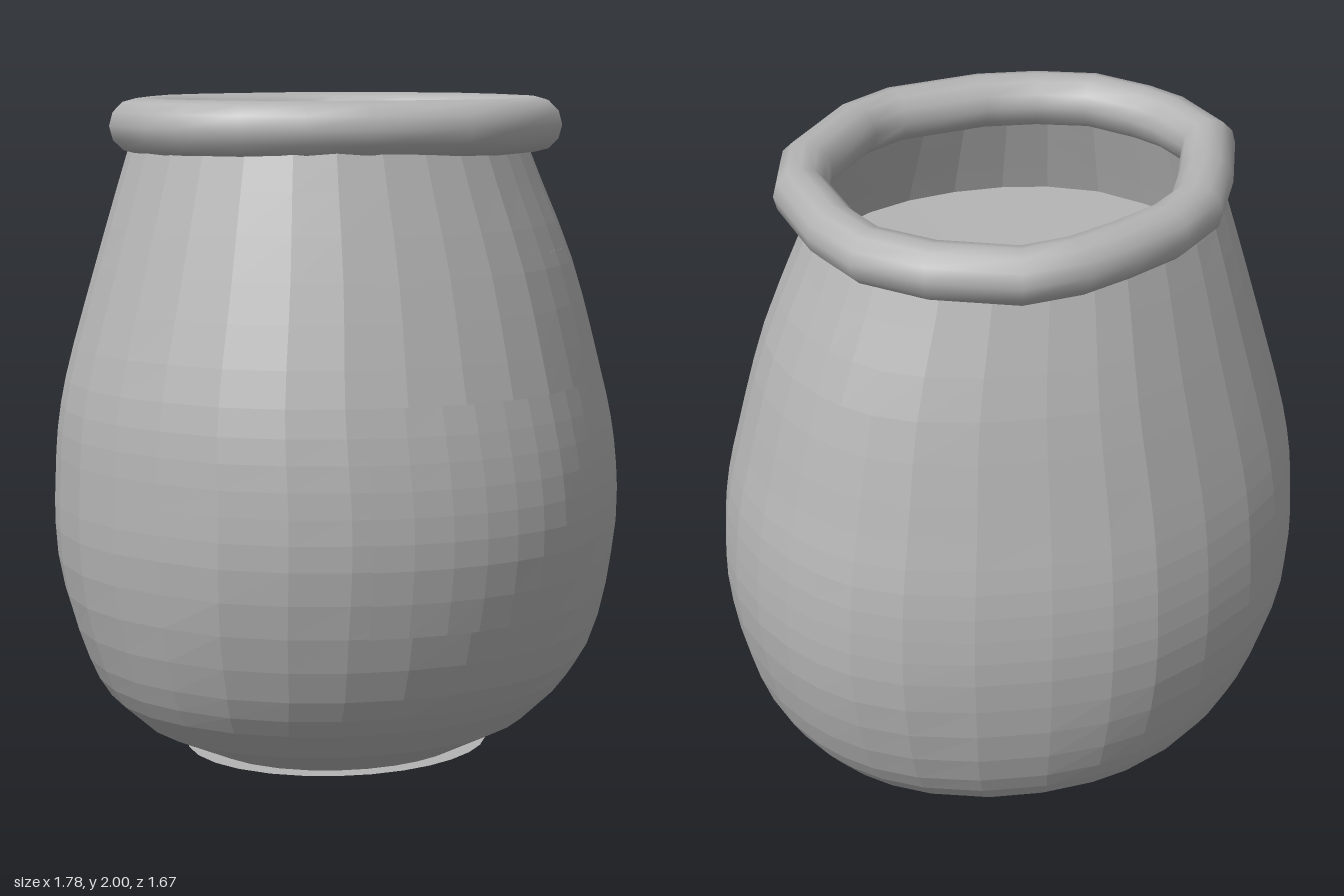
import * as THREE from 'three';

// Uneven plan of the pot at its widest, counter-clockwise from +x seen from above: x, z
const plan = [
  [.89, 0], [.88, -.17], [.845, -.3], [.77, -.44], [.6, -.6], [.37, -.735], [.17, -.815], [0, -.84], [-.26, -.81],
  [-.465, -.745], [-.6, -.665], [-.71, -.565], [-.79, -.43], [-.865, -.24], [-.89, 0], [-.85, .2], [-.765, .43],
  [-.605, .61], [-.43, .72], [-.21, .8], [0, .823], [.2, .795], [.39, .705], [.55, .6], [.71, .46], [.81, .32], [.865, .18],
];
// Half widths and centre at each height: y, half x, half z, centre x, centre z
const levels = [
  [0, .42, .385, -.02, -.025], [.09, .625, .56, -.015, -.025], [.18, .73, .66, -.01, -.03],
  [.3, .805, .735, 0, -.02], [.5, .865, .8, 0, -.01], [.7, .89, .83, 0, 0], [.85, .887, .827, -.002, .003],
  [1, .875, .807, -.008, .003], [1.155, .845, .772, -.015, .003], [1.5, .75, .68, -.014, -.002],
  [1.84, .625, .575, -.035, -.01], [1.92, .6, .55, -.035, -.01],
];
// Centre line of the rolled rim: x, z
const rimPath = [
  [.58, 0], [.577, -.175], [.485, -.35], [.31, -.52], [.155, -.562], [0, -.563], [-.17, -.55], [-.325, -.495],
  [-.47, -.365], [-.63, -.19], [-.645, 0], [-.62, .11], [-.55, .27], [-.42, .385], [-.27, .47], [0, .545],
  [.16, .525], [.415, .395], [.525, .25],
];

const outline = new THREE.CatmullRomCurve3(plan.map(([x, z]) => new THREE.Vector3(x / .89, 0, z / .83)), true);
const sizes = new THREE.CatmullRomCurve3(levels.map(l => new THREE.Vector3(l[1], l[0], l[2])));
const centres = new THREE.CatmullRomCurve3(levels.map(l => new THREE.Vector3(l[3], l[0], l[4])));
const last = levels.length - 1;

// Evenly spaced positions along the outline
const around = Array.from({ length: 32 }, (_, i) => i / 32);

// Ring of the pot at a level number; the plan turns to a true oval near the foot
function potRing(level, { scale = 1, y = null, along = around } = {}) {
  const s = sizes.getPoint(level / last), c = centres.getPoint(level / last);
  const oval = Math.max(0, 1 - s.y / .6);
  return along.map(u => {
    const p = outline.getPoint(u);
    p.multiplyScalar(scale * (1 + oval * (1 / p.length() - 1)));
    return [c.x + p.x * s.x, y ?? s.y, c.z + p.z * s.z];
  });
}

// Skin over rows of points; closed joins each row's end to its start
function loft(rows, closed = true, wrapRows = false) {
  const n = rows[0].length, index = [];
  const cols = closed ? n : n - 1, spans = wrapRows ? rows.length : rows.length - 1;
  for (let j = 0; j < spans; j++) {
    const k = (j + 1) % rows.length;
    for (let i = 0; i < cols; i++) {
      const m = (i + 1) % n;
      index.push(j * n + i, j * n + m, k * n + m, j * n + i, k * n + m, k * n + i);
    }
  }
  const geo = new THREE.BufferGeometry();
  geo.setAttribute('position', new THREE.Float32BufferAttribute(rows.flat(2), 3));
  geo.setIndex(index);
  return geo;
}

function faceted(geo) {
  const flat = geo.toNonIndexed();
  flat.computeVertexNormals();
  return flat;
}

export function createModel() {
  const group = new THREE.Group();
  const clay = new THREE.MeshStandardMaterial({ color: 0xb4b4b4, side: THREE.DoubleSide });
  clay.name = 'grey clay';
  const add = (name, geo) => {
    const mesh = new THREE.Mesh(geo, clay);
    mesh.name = name;
    group.add(mesh);
  };

  // Faceted pot wall, with the long upper spans subdivided
  const steps = [0, 1, 2, 2.5, 3, 3.5, 4, 4.5, 5, 5.5, 6, 6.5, 7, 7.5, 8, 8.33, 8.67, 9, 9.33, 9.67, 10, 11];
  add('potBody', faceted(loft(steps.map(t => potRing(t)))));

  // Thin foot disc, a little wider than the bottom of the wall
  add('footDisc', faceted(loft([.001, 1.15].map(scale => potRing(0, { scale, y: 0 })))));

  // Shallow surface inside the mouth
  const inside = [[1, 1.545], [.75, 1.54], [.5, 1.535], [.25, 1.53], [.001, 1.53]];
  add('innerFloor', faceted(loft(inside.map(([scale, y]) => potRing(9.13, { scale, y })))));

  // Rolled rim, round in section and angular along its length
  const n = rimPath.length, rows = [];
  for (let j = 0; j < 12; j++) {
    const a = j / 12 * Math.PI * 2;
    rows.push(rimPath.map(([x, z], i) => {
      const p = rimPath[(i + n - 1) % n], q = rimPath[(i + 1) % n];
      const dx = q[0] - p[0], dz = q[1] - p[1], len = Math.hypot(dx, dz);
      const r = .082 * Math.cos(a);
      return [x - dz / len * r, 1.918 + .082 * Math.sin(a), z + dx / len * r];
    }));
  }
  const rim = loft(rows, true, true);
  rim.computeVertexNormals();
  add('rim', rim);

  // Curved label plate on the front, following the wall
  const along = Array.from({ length: 9 }, (_, i) => (18 + i / 2) / plan.length);
  const labelRows = [4, 4.5, 5, 5.5, 6, 6.5, 7, 7.5, 8].map(t => potRing(t, { scale: 1.012, along }));
  add('frontLabel', faceted(loft(labelRows, false)));

  return group;
}
